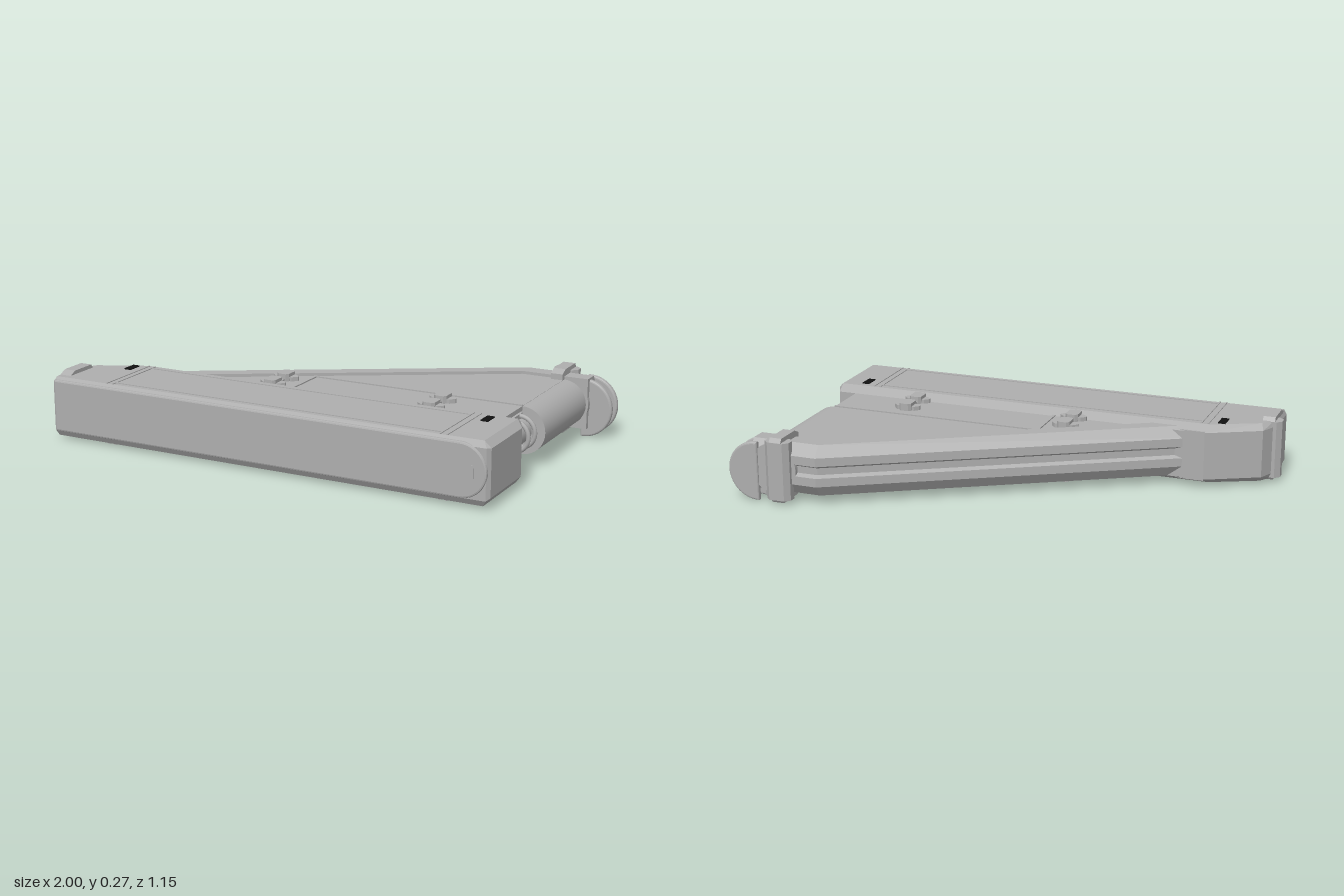
import * as THREE from 'three';
import { ConvexGeometry } from 'three/addons/geometries/ConvexGeometry.js';

export function createModel() {
  const model = new THREE.Group();
  const grey = new THREE.MeshStandardMaterial({ color: 0xaeaeae });
  grey.name = 'grey metal';
  const black = new THREE.MeshStandardMaterial({ color: 0x111111 });
  black.name = 'black marking';

  const add = (name, geo, mat = grey) => {
    const mesh = new THREE.Mesh(geo, mat);
    mesh.name = name;
    model.add(mesh);
    return mesh;
  };
  // Box given by its limits on each axis
  const box = (name, x0, x1, y0, y1, z0, z1, mat) =>
    add(name, new THREE.BoxGeometry(x1 - x0, y1 - y0, z1 - z0), mat)
      .position.set((x0 + x1) / 2, (y0 + y1) / 2, (z0 + z1) / 2);
  // Slab with an (x, z) outline between two heights
  const slab = (name, outline, y0, y1, mat) => {
    const shape = new THREE.Shape(outline.map(([x, z]) => new THREE.Vector2(x, z)));
    const geo = new THREE.ExtrudeGeometry(shape, { depth: y1 - y0, bevelEnabled: false });
    geo.rotateX(Math.PI / 2).translate(0, y1, 0);
    return add(name, geo, mat);
  };
  // Elongated octagon outline for fittings
  const octagon = (x, z, w, d, c) => [
    [x - w + c, z - d], [x + w - c, z - d], [x + w, z - d + c], [x + w, z + d - c],
    [x + w - c, z + d], [x - w + c, z + d], [x - w, z + d - c], [x - w, z - d + c],
  ];

  // Long front beam with chamfered back edge and ends
  const hull = [];
  const ring = (y0, y1, list) => list.forEach(([x, z]) =>
    hull.push(new THREE.Vector3(x, y0, z), new THREE.Vector3(x, y1, z)));
  ring(0.016, 0.26, [[-0.97, 0.55], [-0.97, 0.4], [-0.93, 0.335], [-0.74, 0.245], [0.88, 0.245], [0.88, 0.55]]);
  ring(0.04, 0.236, [[-0.98, 0.56], [-0.98, 0.4], [-0.94, 0.31], [-0.73, 0.2], [0.875, 0.2], [0.895, 0.565], [-0.97, 0.565]]);
  ring(0.05, 0.235, [[0.908, 0.27], [0.908, 0.55]]);
  add('frontBeam', new ConvexGeometry(hull));

  // Front cover plate, square on one end and round on the other
  const cover = new THREE.Shape();
  cover.moveTo(-0.965, 0.046);
  cover.lineTo(0.795, 0.046);
  cover.absarc(0.795, 0.144, 0.098, -Math.PI / 2, Math.PI / 2, false);
  cover.lineTo(-0.965, 0.242);
  cover.closePath();
  add('frontCover', new THREE.ExtrudeGeometry(cover, {
    depth: 0.012, bevelThickness: 0.006, bevelSize: 0.007, bevelSegments: 2, curveSegments: 20,
  })).position.z = 0.554;
  box('coverSlot', 0.835, 0.85, 0.12, 0.17, 0.57, 0.575);

  // Framed panels on the top and bottom of the beam
  for (const [y0, y1] of [[0.259, 0.263], [0.013, 0.017]]) {
    box('beamPanelRim', -0.7, 0.71, y0, y1, 0.272, 0.28);
    box('beamPanelRim', -0.7, 0.71, y0, y1, 0.522, 0.53);
    for (const x of [-0.73, -0.702, 0.708, 0.736]) {
      box('beamPanelRim', x - 0.003, x + 0.003, y0, y1, 0.25, 0.55);
    }
  }
  for (const x of [-0.78, 0.785]) {
    box('beamMarking', x - 0.015, x + 0.015, 0.258, 0.264, 0.27, 0.335, black);
  }

  // Diagonal strut: a grooved section swept along the back edge
  const section = [
    [0.1, 0.04], [0.035, 0.04], [0, 0.085], [0, 0.12], [0.018, 0.13],
    [0.018, 0.158], [0, 0.168], [0, 0.203], [0.035, 0.248], [0.1, 0.248],
  ];
  const stations = [[-0.72, 0.247], [0.62, -0.54], [0.9, -0.54]];
  const positions = [];
  const point = (s, k) => [s[0], section[k][1], s[1] + section[k][0]];
  const n = section.length;
  for (let i = 0; i < 2; i++) {
    const a = stations[i], b = stations[i + 1];
    for (let k = 0; k < n; k++) {
      const m = (k + 1) % n;
      positions.push(...point(a, k), ...point(a, m), ...point(b, m));
      positions.push(...point(a, k), ...point(b, m), ...point(b, k));
    }
  }
  const faces = THREE.ShapeUtils.triangulateShape(section.map(([d, y]) => new THREE.Vector2(d, y)), []);
  for (const [a, b, c] of faces) {
    positions.push(...point(stations[0], a), ...point(stations[0], b), ...point(stations[0], c));
    positions.push(...point(stations[2], a), ...point(stations[2], c), ...point(stations[2], b));
  }
  const strut = new THREE.BufferGeometry();
  strut.setAttribute('position', new THREE.Float32BufferAttribute(positions, 3));
  strut.computeVertexNormals();
  const strutMat = new THREE.MeshStandardMaterial({ color: 0xaeaeae, side: THREE.DoubleSide });
  strutMat.name = 'grey strut metal';
  add('diagonalStrut', strut, strutMat);

  // Collar where the strut meets the beam
  slab('strutCollar', [[-0.73, 0.2], [-0.65, 0.2], [-0.52, 0.23], [-0.52, 0.28], [-0.73, 0.28]], 0.035, 0.24);

  // Triangular web, solid at the back and hollow beside the beam
  slab('rearWeb', [[-0.13, 0], [0.62, -0.45], [0.8, -0.45], [0.8, 0]], 0.045, 0.236);
  slab('sideWeb', [[-0.53, 0.24], [-0.13, 0], [-0.1, 0], [-0.1, 0.24]], 0.045, 0.236);
  slab('webCore', [[-0.1, 0], [0.72, 0], [0.72, 0.22], [-0.1, 0.22]], 0.06, 0.215);
  for (const [y0, y1] of [[0.218, 0.236], [0.045, 0.063]]) {
    box('webCover', -0.1, 0.8, y0, y1, 0, 0.22);
  }
  for (const [y0, y1] of [[0.234, 0.241], [0.04, 0.047]]) {
    box('webSeam', -0.1, 0.8, y0, y1, -0.004, 0.004);
    box('webSeam', -0.102, -0.09, y0, y1, 0, 0.2);
  }
  for (const y of [0.078, 0.2]) box('joinBar', 0.72, 0.8, y - 0.01, y + 0.01, 0, 0.2);
  box('joinPost', 0.72, 0.8, 0.045, 0.236, 0.18, 0.2);

  // Round tube along the short edge, with an end collar and two rings
  const tube = new THREE.CylinderGeometry(0.095, 0.095, 0.45, 40);
  tube.rotateX(Math.PI / 2);
  add('edgeTube', tube).position.set(0.8, 0.14, -0.225);
  const core = new THREE.CylinderGeometry(0.05, 0.05, 0.2, 24);
  core.rotateX(Math.PI / 2);
  add('edgeTubeCore', core).position.set(0.79, 0.14, 0.1);
  for (const z of [0.022, 0.088]) {
    add('joinRing', new THREE.TorusGeometry(0.062, 0.009, 10, 32)).position.set(0.8, 0.14, z);
  }
  const collar = new THREE.CylinderGeometry(0.1, 0.1, 0.1, 32);
  collar.rotateX(Math.PI / 2);
  add('tubeEndCollar', collar).position.set(0.805, 0.14, -0.49);

  // Pair of half-disc claws at the back corner
  const half = new THREE.Shape();
  half.absarc(0, 0, 0.112, -Math.PI / 2, Math.PI / 2, false);
  half.closePath();
  for (const z of [-0.472, -0.537]) {
    add('clawDisc', new THREE.ExtrudeGeometry(half, {
      depth: 0.008, bevelThickness: 0.008, bevelSize: 0.008, bevelSegments: 3, curveSegments: 28,
    })).position.set(0.876, 0.122, z - 0.004);
  }
  box('clawHub', 0.84, 0.9, 0.06, 0.2, -0.535, -0.45);

  // Clamps around the two outer corners
  for (const [x, z] of [[0.775, -0.54], [-0.948, 0.403]]) {
    slab('clampLug', octagon(x, z, 0.052, 0.034, 0.02), 0.022, 0.258);
    const band = [];
    for (const dx of [-0.025, 0.025]) {
      for (const [dz, y] of [[-0.034, 0.03], [-0.02, 0.01], [0.09, 0.01], [0.12, 0.025],
        [0.12, 0.26], [0.09, 0.275], [-0.02, 0.275], [-0.034, 0.255]]) {
        band.push(new THREE.Vector3(x + dx, y, z + dz));
      }
    }
    add('clampBand', new ConvexGeometry(band));
  }

  // Lugs joining the web to the beam, above and below
  for (const x of [-0.185, 0.505]) {
    for (const z of [0.083, 0.188]) {
      for (const side of [1, -1]) {
        const span = (a, b) => (side > 0 ? [a, b] : [0.28 - b, 0.28 - a]);
        slab('hingeLug', octagon(x, z, 0.055, 0.022, 0.018), ...span(0.225, 0.253));
        slab('hingeCap', octagon(x, z, 0.026, 0.035, 0.01), ...span(0.225, 0.266));
      }
    }
    box('hingeLink', x - 0.012, x + 0.012, 0.235, 0.246, 0.09, 0.18);
    box('hingeLink', x - 0.012, x + 0.012, 0.034, 0.045, 0.09, 0.18);
  }
  return model;
}
